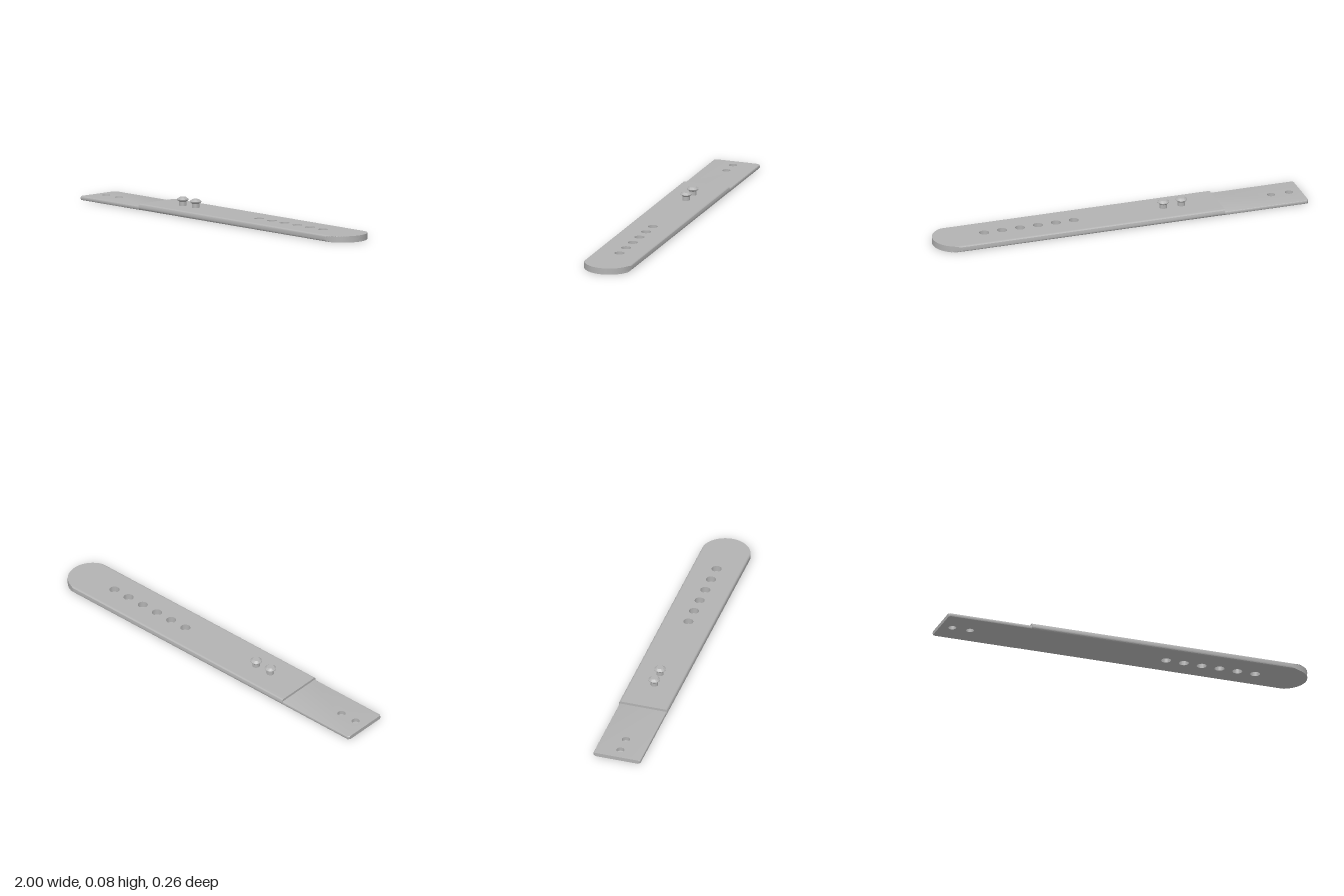
import * as THREE from 'three';
import { mergeGeometries, toCreasedNormals } from 'three/addons/utils/BufferGeometryUtils.js';

const HOLE_SIDES = 24;

// Wall through a stack of equal-length loops; each loop is { z, pts }.
function loft(loops) {
  const pos = [];
  const n = loops[0].pts.length;
  for (let k = 0; k < loops.length - 1; k++) {
    for (let i = 0; i < n; i++) {
      const j = (i + 1) % n, lo = loops[k], hi = loops[k + 1];
      const at = (l, m) => [l.pts[m].x, l.pts[m].y, l.z];
      const a = at(lo, i), b = at(lo, j), c = at(hi, j), d = at(hi, i);
      pos.push(...a, ...b, ...c, ...a, ...c, ...d);
    }
  }
  const g = new THREE.BufferGeometry();
  g.setAttribute('position', new THREE.Float32BufferAttribute(pos, 3));
  return g;
}

// Flat face with holes, facing up or down.
function cap(pts, holes, z, down) {
  const shape = new THREE.Shape(pts);
  shape.holes = holes.map((h) => new THREE.Path(h));
  const g = new THREE.ShapeGeometry(shape);
  if (down) g.index.array.reverse();
  const flat = g.toNonIndexed();
  flat.deleteAttribute('uv');
  flat.deleteAttribute('normal');
  return flat.translate(0, 0, z);
}

// Clockwise circle, so that its wall faces into the hole.
function holeLoop(x, r) {
  return Array.from({ length: HOLE_SIDES }, (_, i) => {
    const a = -(i / HOLE_SIDES) * Math.PI * 2;
    return new THREE.Vector2(x + r * Math.cos(a), r * Math.sin(a));
  });
}

// Plate with rounded long edges: outline(w) is its plan at half width w.
function plate(outline, halfWidth, height, round, holeXs, holeR) {
  const loops = [];
  const steps = 5;
  for (const side of [-1, 1]) {
    for (let i = 0; i <= steps; i++) {
      const a = (side < 0 ? i / steps - 1 : i / steps) * Math.PI / 2;
      const z = (side < 0 ? round : height - round) + round * Math.sin(a);
      loops.push({ z, pts: outline(halfWidth - round + round * Math.cos(a)) });
    }
  }
  const holes = holeXs.map((x) => holeLoop(x, holeR));
  const parts = [
    loft(loops),
    cap(loops[0].pts, holes, 0, true),
    cap(loops[loops.length - 1].pts, holes, height, false),
    ...holes.map((pts) => loft([{ z: 0, pts }, { z: height, pts }])),
  ];
  const g = mergeGeometries(parts).rotateX(-Math.PI / 2);
  return toCreasedNormals(g, 0.5);
}

export function createModel() {
  const group = new THREE.Group();
  const grey = new THREE.MeshStandardMaterial({ color: 0xb2b2b2 });
  grey.name = 'grey';
  const add = (name, geometry) => {
    const mesh = new THREE.Mesh(geometry, grey);
    mesh.name = name;
    group.add(mesh);
    return mesh;
  };

  const STEP_X = -0.545, R = 0.13, THICK = 0.033;

  // Thick strap, square at the step and round at the tip
  const strapOutline = (w) => {
    const pts = [new THREE.Vector2(STEP_X, -w)];
    const limit = Math.asin(Math.min(1, w / R));
    for (let i = 0; i <= 40; i++) {
      const a = limit * (i / 20 - 1);
      pts.push(new THREE.Vector2(1 - R + R * Math.cos(a), R * Math.sin(a)));
    }
    pts.push(new THREE.Vector2(STEP_X, w));
    return pts;
  };
  const strapHoles = Array.from({ length: 6 }, (_, i) => 0.235 + i * 0.0975);
  add('strap', plate(strapOutline, R, THICK, 0.012, strapHoles, 0.026));

  // Thin tongue with slightly eased end corners
  const tongueOutline = (w) => [
    [-1, w - 0.008], [-1, 0.008 - w], [-0.992, -w],
    [STEP_X, -w], [STEP_X, w], [-0.992, w],
  ].map(([x, y]) => new THREE.Vector2(x, y));
  add('tongue', plate(tongueOutline, 0.127, 0.02, 0.006, [-0.936, -0.839], 0.021));

  // Pair of locking studs
  const profile = [
    [0.019, 0.03], [0.019, 0.054], [0.03, 0.064],
    [0.03, 0.067], [0.018, 0.077], [0, 0.077],
  ].map(([x, y]) => new THREE.Vector2(x, y));
  const lathe = new THREE.LatheGeometry(profile, 32);
  const studGeometry = toCreasedNormals(lathe, 0.4);
  for (const x of [-0.35, -0.252]) add('stud', studGeometry).position.x = x;

  return group;
}
